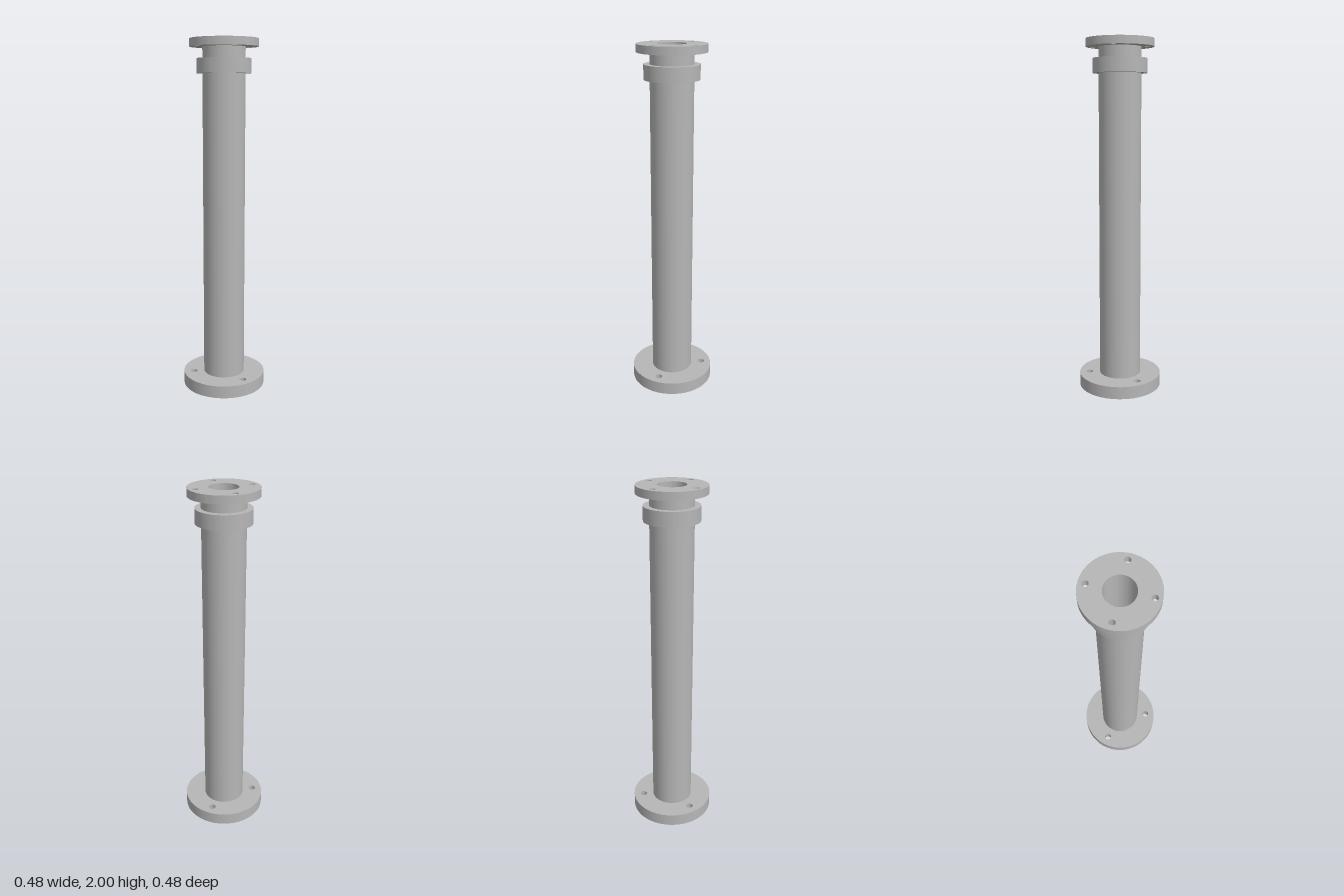
import * as THREE from 'three';
import { toCreasedNormals } from 'three/addons/utils/BufferGeometryUtils.js';

const BORE = 0.078;
const PIPE = 0.119;

const steel = new THREE.MeshStandardMaterial({ color: 0xb6b6b6 });
steel.name = 'greySteel';

function circleHole(x, y, radius) {
  return new THREE.Path().absarc(x, y, radius, 0, Math.PI * 2, true);
}

// Upright ring from y0 to y1, with optional bolt holes evenly spaced on a circle
function ring(name, outer, inner, y0, y1, bolts) {
  const shape = new THREE.Shape().absarc(0, 0, outer, 0, Math.PI * 2, false);
  shape.holes.push(circleHole(0, 0, inner));
  if (bolts) {
    for (let i = 0; i < bolts.count; i++) {
      const a = bolts.start + (i / bolts.count) * Math.PI * 2;
      shape.holes.push(circleHole(Math.cos(a) * bolts.circle, Math.sin(a) * bolts.circle, bolts.radius));
    }
  }
  const solid = new THREE.ExtrudeGeometry(shape, { depth: y1 - y0, bevelEnabled: false, curveSegments: 64 });
  solid.rotateX(-Math.PI / 2);
  solid.translate(0, y0, 0);
  const mesh = new THREE.Mesh(toCreasedNormals(solid, 0.6), steel);
  mesh.name = name;
  return mesh;
}

export function createModel() {
  const group = new THREE.Group();
  group.name = 'flangedPipe';
  group.add(
    // Wide foot with three bolt holes, one at the back
    ring('baseFlange', 0.238, BORE, 0, 0.072, { count: 3, start: Math.PI / 2, circle: 0.18, radius: 0.02 }),
    // Hollow column between the flanges
    ring('pipe', PIPE, BORE, 0.072, 1.957),
    // Plain band below the top flange
    ring('collar', 0.152, PIPE, 1.815, 1.895),
    // Thin top plate with four diagonal bolt holes
    ring('topFlange', 0.19, BORE, 1.957, 2, { count: 4, start: Math.PI / 4, circle: 0.155, radius: 0.016 })
  );
  return group;
}
